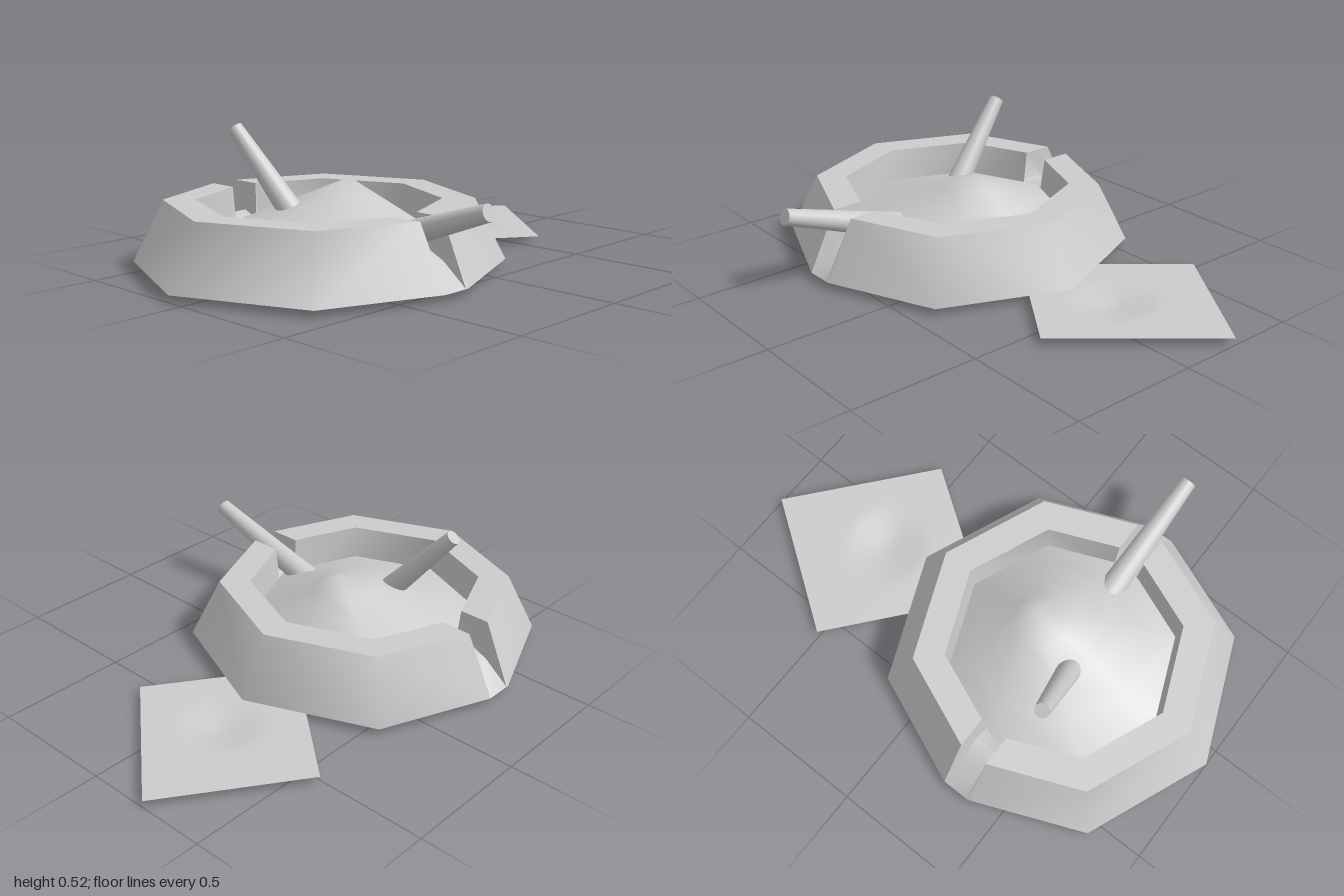
import * as THREE from 'three';
import { toCreasedNormals } from 'three/addons/utils/BufferGeometryUtils.js';

const grey = new THREE.MeshStandardMaterial({ color: 0xcccccc, side: THREE.DoubleSide });

// Skin rows of [x, y, z] points with equal counts, keeping sharp edges sharp.
function loft(rows, crease = 0.9) {
  const n = rows[0].length, index = [];
  for (let i = 0; i < rows.length - 1; i++) {
    for (let j = 0; j < n - 1; j++) {
      const a = i * n + j, b = a + 1, c = a + n, d = c + 1;
      index.push(a, b, c, b, d, c);
    }
  }
  const geo = new THREE.BufferGeometry();
  geo.setAttribute('position', new THREE.Float32BufferAttribute(rows.flat(2), 3));
  geo.setIndex(index);
  return toCreasedNormals(geo, crease);
}

function part(name, geo, parent) {
  const mesh = new THREE.Mesh(geo, grey);
  mesh.name = name;
  parent.add(mesh);
  return mesh;
}

// Tapered round stick between two points
function stick(name, from, to, rFrom, rTo, parent) {
  const a = new THREE.Vector3(...from), b = new THREE.Vector3(...to);
  const dir = b.clone().sub(a);
  const mesh = part(name, new THREE.CylinderGeometry(rTo, rFrom, dir.length(), 20), parent);
  mesh.position.copy(a).add(b).multiplyScalar(0.5);
  mesh.quaternion.setFromUnitVectors(new THREE.Vector3(0, 1, 0), dir.normalize());
}

export function createModel() {
  const model = new THREE.Group();
  const tray = new THREE.Group();
  tray.name = 'ashtray';
  tray.position.set(-0.315, 0, -0.07);
  model.add(tray);

  // Octagonal bowl shell, in two halves that leave a gap front and back
  const half = 0.057, cut = half * Math.tan(Math.PI / 8);
  const profile = [[0.685, 0.03], [0.57, 0.26], [0.45, 0.26], [0.43, 0.08], [0.495, 0.08]];
  const rows = profile.map(([r, y]) => {
    const k = r * Math.SQRT1_2;
    return [[half, y, r - cut], [k, y, k], [r, y, 0], [k, y, -k], [half, y, cut - r]];
  });
  const bowl = loft(rows);
  for (const side of [1, -1]) {
    part(side > 0 ? 'leftBowlHalf' : 'rightBowlHalf', bowl, tray).scale.x = side;
  }

  // Resting grooves: side walls and a ramp that rises inward, then drops
  const edge = [[0.685, 0.03], [0.57, 0.26], [0.45, 0.26], [0.436, 0.13], [0.43, 0.08]];
  const ramp = [[0.685, 0.03], [0.585, 0.11], [0.5, 0.15], [0.436, 0.12], [0.43, 0.08]];
  const line = (pts, x) => pts.map(([r, y]) => [x, y, r - cut]);
  const groove = loft([line(edge, half), line(ramp, 0.046), line(ramp, -0.046), line(edge, -half)]);
  part('frontGroove', groove, tray);
  part('backGroove', groove, tray).rotation.y = Math.PI;

  // Ash heap: an off-centre peak falling to the bowl wall
  const peak = [0.145, 0.325, 0.01], ash = [];
  for (let i = 0; i <= 4; i++) {
    const t = i / 4, ring = [];
    for (let j = 0; j <= 8; j++) {
      const a = j * Math.PI / 4;
      const rim = [0.436 * Math.sin(a), 0.13, 0.436 * Math.cos(a)];
      ring.push(rim.map((v, k) => v + (peak[k] - v) * t));
    }
    ash.push(ring);
  }
  part('ashHeap', loft(ash, 1.2), tray);

  // Cigarette butts
  stick('frontButt', [-0.315, 0.14, 0.21], [-0.315, 0.315, 0.722], 0.052, 0.031, model);
  stick('standingButt', [-0.38, 0.15, -0.085], [-0.443, 0.505, -0.388], 0.05, 0.029, model);

  // Thin sheet lying beside the tray, sagging near its middle
  const sheet = [], N = 20;
  for (let i = 0; i <= N; i++) {
    const row = [];
    for (let j = 0; j <= N; j++) {
      const u = i / N, v = j / N;
      const x = 0.08 + 0.43 * u + 0.49 * v, z = -0.07 - 0.51 * u + 0.34 * v;
      const d = Math.hypot(x - 0.53, z + 0.12);
      row.push([x, 0.03 - 0.028 * Math.max(0, 1 - d / 0.16), z]);
    }
    sheet.push(row);
  }
  part('paperSheet', loft(sheet), model);

  return model;
}
